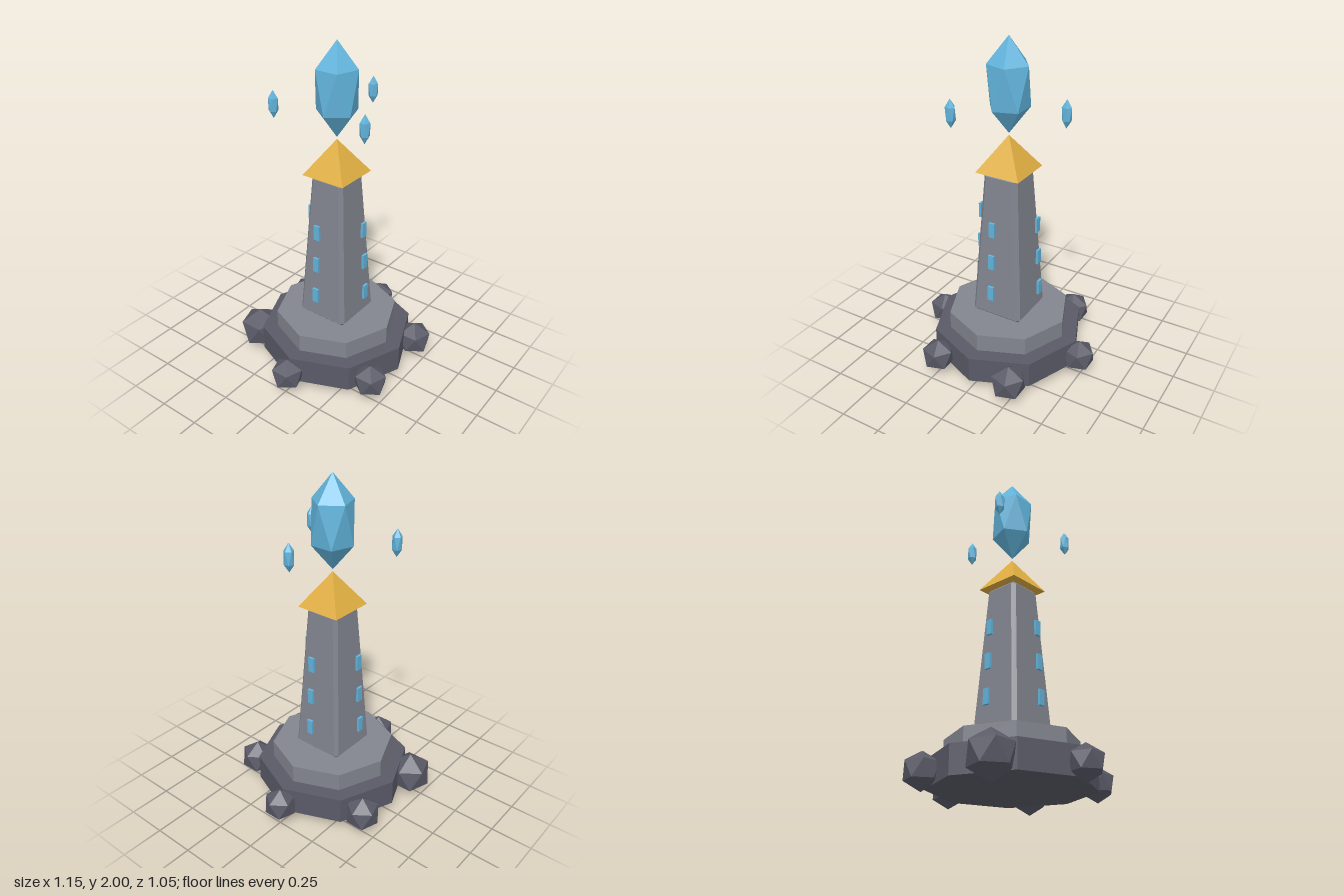
import * as THREE from 'three';
import { ConvexGeometry } from 'three/addons/geometries/ConvexGeometry.js';

const material = (name, color) => {
  const m = new THREE.MeshStandardMaterial({ color, flatShading: true });
  m.name = name;
  return m;
};

// Twenty-sided gem with points at top and bottom, stretched vertically
function gemGeometry(radius, halfHeight) {
  const points = [new THREE.Vector3(0, halfHeight, 0), new THREE.Vector3(0, -halfHeight, 0)];
  for (let i = 0; i < 10; i++) {
    const a = (i * Math.PI) / 5;
    const side = i % 2 ? -1 : 1;
    points.push(new THREE.Vector3(radius * Math.cos(a), side * 0.447 * halfHeight, radius * Math.sin(a)));
  }
  return new ConvexGeometry(points);
}

// Tapered square column with bevelled edges
function columnGeometry(y0, y1, half0, half1, bevel) {
  const points = [];
  const levels = [[y0, half0, true], [y0 + bevel, half0, false], [y1 - bevel, half1, false], [y1, half1, true]];
  for (const [y, h, cap] of levels)
    for (const sx of [-1, 1])
      for (const sz of [-1, 1]) {
        const inner = h - bevel;
        if (cap) points.push(new THREE.Vector3(sx * inner, y, sz * inner));
        else points.push(
          new THREE.Vector3(sx * h, y, sz * inner),
          new THREE.Vector3(sx * inner, y, sz * h));
      }
  return new ConvexGeometry(points);
}

export function createModel() {
  const model = new THREE.Group();
  model.name = 'crystalTower';
  const body = new THREE.Group();
  body.name = 'body';
  body.position.z = 0.0065;
  model.add(body);

  const darkStone = material('dark stone', 0x5a5a68);
  const stone = material('stone', 0x82858f);
  const gold = material('gold', 0xe0ae42);
  const crystal = material('crystal blue', 0x62b4dc);

  const add = (name, geometry, mat, x, y, z, parent = body) => {
    const mesh = new THREE.Mesh(geometry, mat);
    mesh.name = name;
    mesh.position.set(x, y, z);
    parent.add(mesh);
    return mesh;
  };

  // Two octagonal steps
  add('lowerStep', new THREE.CylinderGeometry(0.46, 0.46, 0.16, 8), darkStone, 0, 0.147, 0);
  add('upperStep', new THREE.CylinderGeometry(0.368, 0.368, 0.11, 8), stone, 0, 0.281, 0);

  // Tower and pyramid roof
  add('tower', columnGeometry(0.334, 1.245, 0.16, 0.106, 0.02), stone, 0, 0, 0);
  const roof = new THREE.ConeGeometry(0.137 * Math.SQRT2, 0.205, 4).rotateY(Math.PI / 4);
  add('roof', roof, gold, 0, 1.35, 0);

  // Boulders around the base, counted from +x towards +z
  [0.101, 0.109, 0.103, 0.101, 0.133, 0.106].forEach((r, i) => {
    const a = (i * Math.PI) / 3;
    add('boulder', gemGeometry(0.894 * r, r), darkStone, 0.485 * Math.cos(a), 0.135, 0.485 * Math.sin(a));
  });

  // Three floating window slabs on each side
  const slab = new THREE.BoxGeometry(0.037, 0.09, 0.014);
  for (let i = 0; i < 4; i++) {
    const side = new THREE.Group();
    side.name = 'windowColumn';
    side.rotation.y = (i * Math.PI) / 2;
    body.add(side);
    for (let k = 0; k < 3; k++)
      add('window', slab, crystal, 0, 0.533 + 0.206 * k, 0.207 - 0.0095 * k, side);
  }

  // Large crystal over the roof and three small ones in orbit
  add('mainCrystal', gemGeometry(0.12, 0.268), crystal, 0, 1.732, 0);
  const shard = gemGeometry(0.028, 0.08);
  for (let i = 0; i < 3; i++) {
    const a = (i * Math.PI * 2) / 3;
    add('orbitingCrystal', shard, crystal, 0.345 * Math.cos(a), 1.638, 0.345 * Math.sin(a));
  }
  return model;
}
